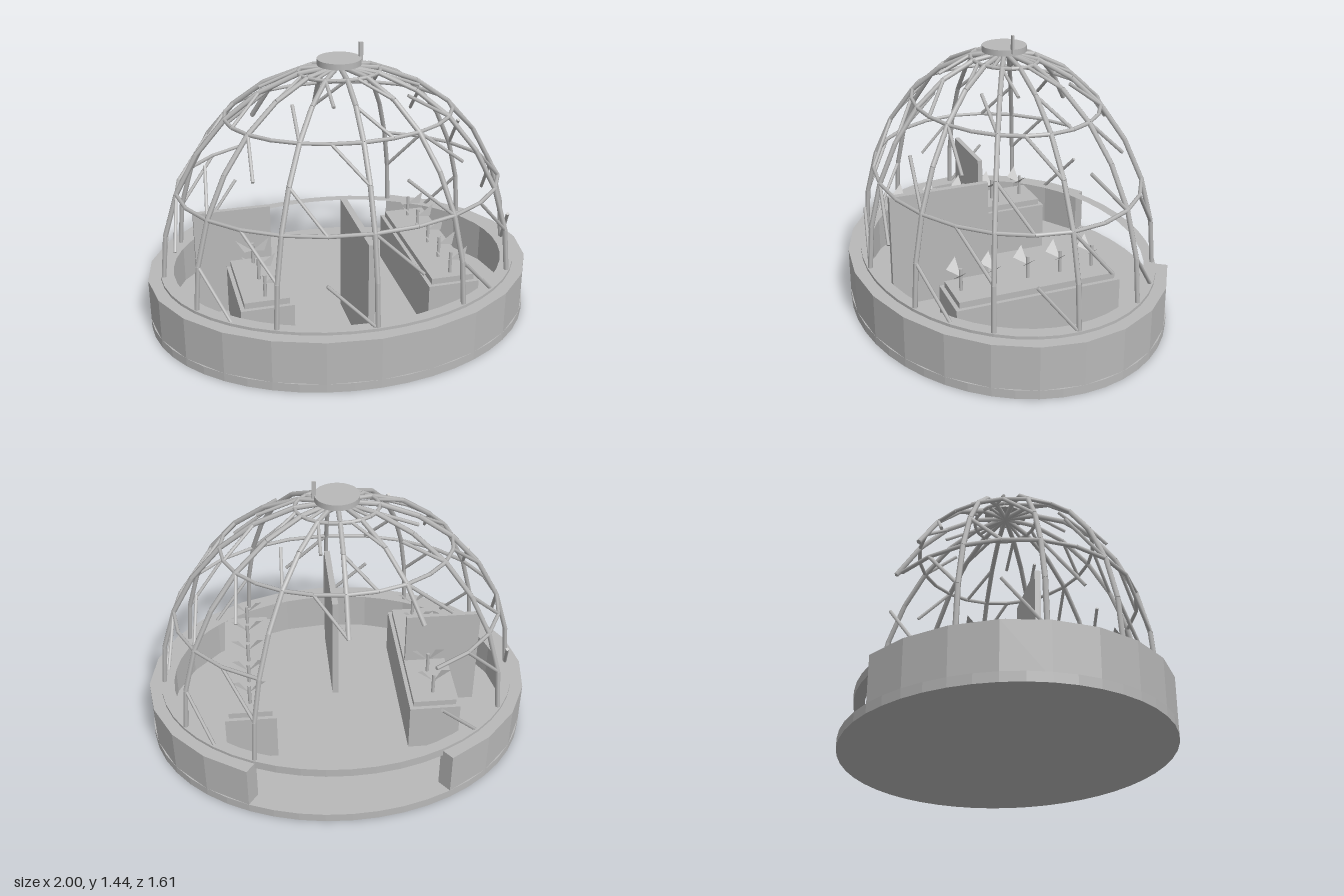
import * as THREE from 'three';

const RX = 0.92, RZ = 0.725;          // dome footprint radii
const BASE_Y = 0.275, RISE = 1.055;   // dome springing height and rise
const SEGMENTS = 24, LEVELS = 7;
const TAU = Math.PI * 2;

export function createModel() {
  const model = new THREE.Group();
  const grey = new THREE.MeshStandardMaterial({ color: 0xb8b8b8 });
  grey.name = 'grey';
  const greyLeaf = grey.clone();
  greyLeaf.name = 'grey leaf';
  greyLeaf.side = THREE.DoubleSide;

  const add = (name, geometry, parent = model, material = grey) => {
    const mesh = new THREE.Mesh(geometry, material);
    mesh.name = name;
    parent.add(mesh);
    return mesh;
  };
  const group = (name) => {
    const g = new THREE.Group();
    g.name = name;
    model.add(g);
    return g;
  };
  // Box given by its min and max on each axis
  const box = (name, x0, x1, y0, y1, z0, z1, parent) =>
    add(name, new THREE.BoxGeometry(x1 - x0, y1 - y0, z1 - z0), parent)
      .position.set((x0 + x1) / 2, (y0 + y1) / 2, (z0 + z1) / 2);

  // Points along an elliptical arc; shape y is -z so it lies flat after turning
  const arc = (rx, rz, from, to, n) => Array.from({ length: n + 1 }, (_, i) => {
    const a = from + (to - from) * i / n;
    return new THREE.Vector2(rx * Math.cos(a), -rz * Math.sin(a));
  });
  const ellipse = (rx, rz, n) => arc(rx, rz, 0, TAU, n).slice(0, n);
  const flat = (shape, y0, y1) =>
    new THREE.ExtrudeGeometry(shape, { depth: y1 - y0, bevelEnabled: false })
      .rotateX(-Math.PI / 2).translate(0, y0, 0);

  // Floor slab, low wall open at the back, and the rim carrying the dome
  add('floor', flat(new THREE.Shape(ellipse(1, 0.805, 48)), 0, 0.045));
  const start = -Math.PI / 3, end = Math.PI * 4 / 3;
  const wall = new THREE.Shape([
    ...arc(1, 0.805, start, end, 20),
    ...arc(0.906, 0.73, end, start, 20),
  ]);
  add('wall', flat(wall, 0.01, 0.27));
  const rim = new THREE.Shape(ellipse(0.935, 0.74, 48));
  rim.holes.push(new THREE.Path(ellipse(0.868, 0.685, 48)));
  add('rim', flat(rim, 0.24, 0.285));

  // Dome node at azimuth step i and height level j
  const node = (i, j) => {
    const a = i / SEGMENTS * TAU, t = j / LEVELS * Math.PI / 2;
    return new THREE.Vector3(
      RX * Math.cos(t) * Math.cos(a),
      BASE_Y + RISE * Math.sin(t),
      RZ * Math.cos(t) * Math.sin(a));
  };
  const up = new THREE.Vector3(0, 1, 0);
  const strut = (name, a, b, r, parent) => {
    const dir = b.clone().sub(a);
    const mesh = add(name, new THREE.CylinderGeometry(r, r, dir.length(), 6), parent);
    mesh.position.copy(a).add(b).multiplyScalar(0.5);
    mesh.quaternion.setFromUnitVectors(up, dir.normalize());
  };
  // The doorway leaves out the lower struts at the back
  const inDoorway = (i, j) => i >= 16 && i < 20 && j < 3;

  const ribs = group('ribs'), rings = group('rings'), braces = group('braces');
  for (let i = 0; i < SEGMENTS; i++) {
    for (let j = 0; j < LEVELS; j++) {
      if (inDoorway(i, j)) continue;
      if (i % 2 === 0) strut('rib', node(i, j), node(i, j + 1), 0.013, ribs);
      if (j > 0 && j % 2 === 0) strut('ring', node(i, j), node(i + 1, j), 0.01, rings);
      if ((i + j) % 3 === 0) strut('brace', node(i, j), node(i + 1, j + 1), 0.009, braces);
    }
  }

  // Cap disc and its upright handle
  add('cap', new THREE.CylinderGeometry(0.11, 0.11, 0.03, 32)).position.y = 1.353;
  box('capHandle', 0.1, 0.12, 1.35, 1.44, -0.006, 0.006);

  // Partitions
  box('centrePartition', -0.016, 0.016, 0.045, 0.655, 0.095, 0.615);
  box('sidePartition', -0.755, -0.365, 0.045, 0.62, -0.013, 0.013);

  // Pair of leaves meeting at the stem
  const leaves = new THREE.BufferGeometry();
  leaves.setAttribute('position', new THREE.Float32BufferAttribute([
    0, 0, 0, 0.05, 0.023, 0.056, 0.085, 0.065, 0,
    0, 0, 0, -0.085, 0.065, 0, -0.05, 0.023, 0.056,
  ], 3));
  leaves.computeVertexNormals();
  const stem = new THREE.CylinderGeometry(0.009, 0.009, 0.125, 8);

  // Planting beds, one each side, with a row of seedlings
  for (const side of [-1, 1]) {
    const bed = group(side > 0 ? 'leftBed' : 'rightBed');
    const x = side * 0.47;
    box('planter', x - 0.13, x + 0.13, 0.045, 0.305, -0.37, 0.47, bed);
    box('soil', x - 0.11, x + 0.11, 0.3, 0.336, -0.35, 0.45, bed);
    for (let k = 0; k < 5; k++) {
      const z = 0.403 - k * 0.17;
      add('stem', stem, bed).position.set(x, 0.387, z);
      add('leaves', leaves, bed, greyLeaf).position.set(x, 0.407, z);
    }
  }
  return model;
}
